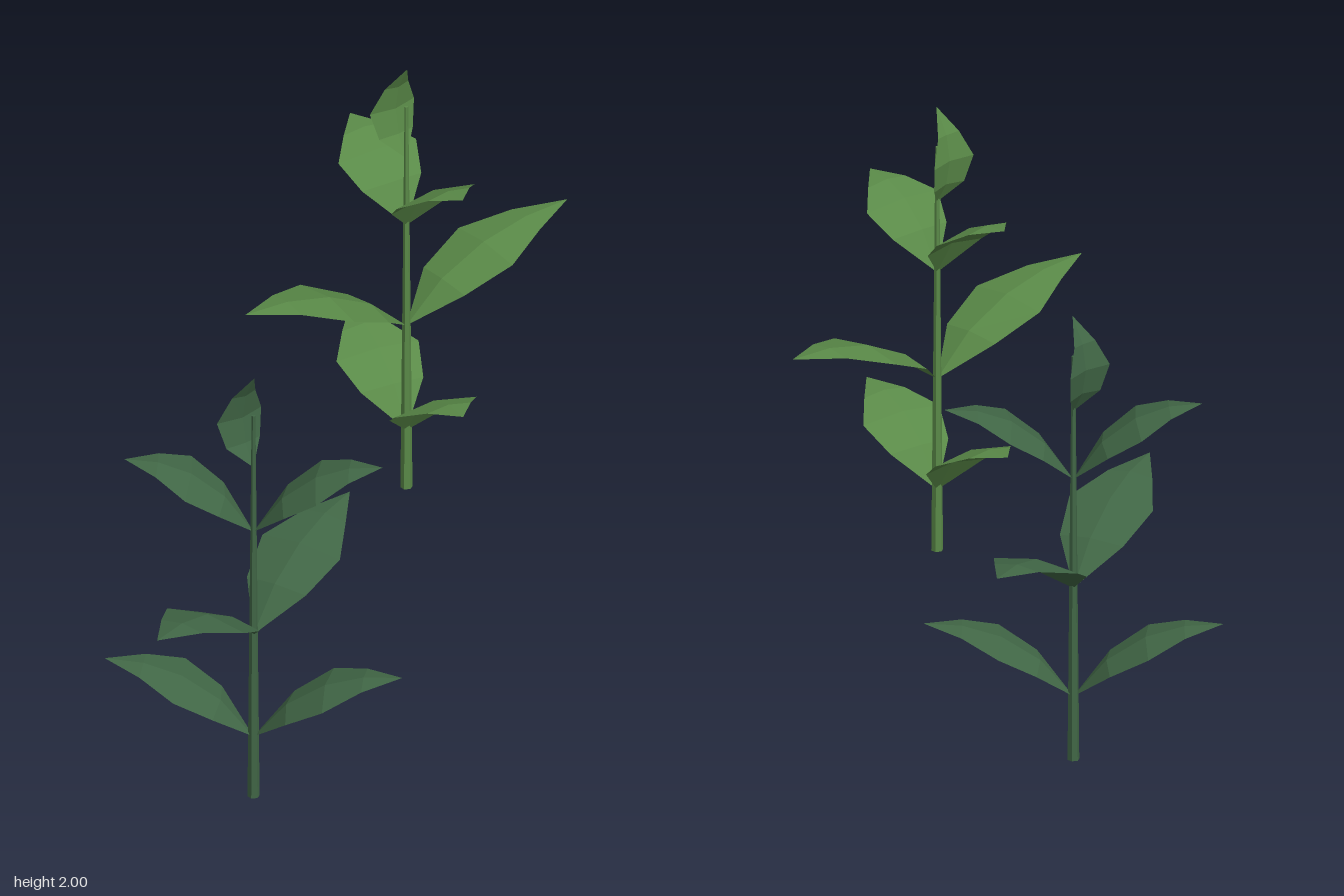
import * as THREE from 'three';

const lightGreen = new THREE.MeshStandardMaterial({ color: 0x5a8a48, flatShading: true, side: THREE.DoubleSide });
lightGreen.name = 'light leaf green';
const darkGreen = new THREE.MeshStandardMaterial({ color: 0x416746, flatShading: true, side: THREE.DoubleSide });
darkGreen.name = 'dark leaf green';

// Leaf stations: position along the blade, width share
const ALONG = [0, 0.22, 0.48, 0.74, 1];
const WIDTH = [0, 0.76, 1, 0.53, 0];
// Share of the total rise for the arching side leaves
const ARCH = [0, 0.5, 0.82, 0.97, 1];

// Folded blade: a midrib with both edges set back from its convex side
function leafGeometry(midrib, side, halfWidth, fold) {
  const pos = [], index = [];
  midrib.forEach((p, i) => {
    const ahead = midrib[Math.min(i + 1, midrib.length - 1)];
    const behind = midrib[Math.max(i - 1, 0)];
    const normal = side.clone().cross(ahead.clone().sub(behind)).normalize();
    for (const s of [-1, 0, 1]) {
      const q = p.clone().addScaledVector(side, s * halfWidth * WIDTH[i]);
      q.addScaledVector(normal, -Math.abs(s) * fold * WIDTH[i]);
      pos.push(q.x, q.y, q.z);
    }
  });
  for (let i = 0; i < midrib.length - 1; i++) {
    for (let j = 0; j < 2; j++) {
      const a = i * 3 + j, b = a + 1, c = a + 3, d = a + 4;
      if (i > 0) index.push(a, b, d);
      if (i < midrib.length - 2) index.push(a, d, c);
      else if (i === midrib.length - 2) index.push(a, d, c);
      if (i === 0) index.push(a, b, d);
    }
  }
  const geo = new THREE.BufferGeometry();
  geo.setAttribute('position', new THREE.Float32BufferAttribute(pos, 3));
  geo.setIndex(index);
  geo.computeVertexNormals();
  return geo;
}

function addMesh(parent, geo, material, name) {
  const mesh = new THREE.Mesh(geo, material);
  mesh.name = name;
  parent.add(mesh);
  return mesh;
}

// Side leaf reaching from the stem to a tip offset (tx, tz)
function sideLeaf(tx, tz, rise) {
  const dir = new THREE.Vector3(tx, 0, tz).normalize();
  const side = new THREE.Vector3(dir.z, 0, -dir.x);
  const midrib = ALONG.map((u, i) => new THREE.Vector3(tx * u, rise * ARCH[i], tz * u));
  return leafGeometry(midrib, side.negate(), 0.12, 0.018).scale(1, 1, 1);
}

// Upright leaf at the top, bulging to the back
function crownLeaf() {
  const bulge = [0, -0.033, -0.046, -0.034, 0.003];
  const midrib = ALONG.map((u, i) => new THREE.Vector3(0, 0.268 * u, bulge[i]));
  return leafGeometry(midrib, new THREE.Vector3(-1, 0, 0), 0.073, -0.015);
}

function sprig(name, material, pairs) {
  const plant = new THREE.Group();
  plant.name = name;
  // Tapering stem
  addMesh(plant, new THREE.CylinderGeometry(0.005, 0.016, 1.14, 6).translate(0, 0.57, 0), material, 'stem');
  // Opposite leaf pairs
  for (const [label, y, tx, tz] of pairs) {
    for (const s of [1, -1]) {
      addMesh(plant, sideLeaf(s * tx, s * tz, 0.205), material, label).position.y = y;
    }
  }
  addMesh(plant, crownLeaf(), material, 'crownLeaf').position.y = 0.985;
  return plant;
}

export function createModel() {
  const model = new THREE.Group();
  model.name = 'leafySprigs';

  const dark = sprig('darkSprig', darkGreen, [
    ['lowerLeaf', 0.178, 0.272, 0.28],
    ['middleLeaf', 0.484, 0.437, -0.15],
    ['upperLeaf', 0.792, 0.25, 0.225],
  ]);
  dark.position.set(-0.293, 0, 0);

  const light = sprig('lightSprig', lightGreen, [
    ['lowerLeaf', 0.17, -0.062, 0.318],
    ['middleLeaf', 0.484, 0.515, 0.022],
    ['upperLeaf', 0.785, -0.026, 0.27],
  ]);
  light.position.set(0.213, 0.747, 0);

  model.add(dark, light);
  return model;
}
